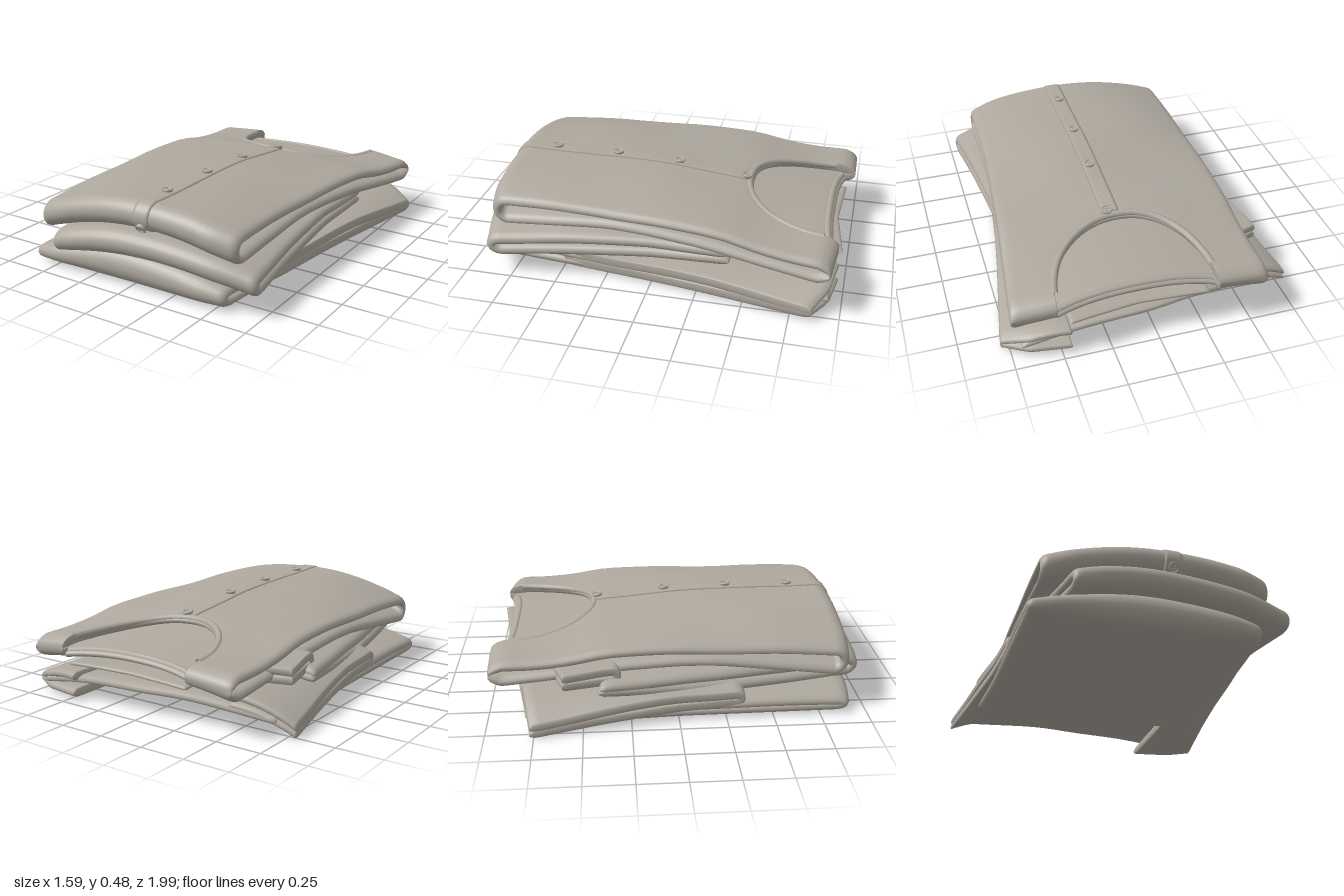
import * as THREE from 'three';
import { mergeVertices } from 'three/addons/utils/BufferGeometryUtils.js';

const cloth = new THREE.MeshStandardMaterial({ color: 0xaea89e, side: THREE.DoubleSide });
cloth.name = 'greige cloth';
const { lerp, clamp } = THREE.MathUtils;

// Smoothed lookup in a short list of [position, value] pairs
const table = (...pts) => {
  const at = (t) => {
    if (t <= pts[0][0]) return pts[0][1];
    for (let i = 1; i < pts.length; i++) {
      const [a, p] = pts[i - 1], [b, q] = pts[i];
      if (t <= b) return lerp(p, q, (t - a) / (b - a));
    }
    return pts[pts.length - 1][1];
  };
  return (t) => (at(t - 0.05) + at(t) + at(t + 0.05)) / 3;
};
const flat = (v) => () => v;
const even = (n, a = 0, b = 1) => Array.from({ length: n + 1 }, (_, i) => lerp(a, b, i / n));
const eased = (n, a, b) => even(n).map((t) => lerp(a, b, (1 - Math.cos(Math.PI * t)) / 2));
const roundEdge = (t, w) => Math.sqrt(Math.max(0, 1 - (1 - clamp(Math.min(t, 1 - t) / w, 0, 1)) ** 2));

// Sampling along a fold: top panel, front bend, bottom panel
const foldRows = (n, bend) => [...eased(n, 0, 0.42), ...even(bend, 0.42, 0.58).slice(1), ...eased(n, 0.58, 1).slice(1)];
const plainColumns = eased(34, 0, 1), plainRows = foldRows(20, 12);

// Neck opening, as fractions of the garment width
const neckL = 0.203, neckR = 0.827;
const neckColumns = [...eased(12, 0, neckL), ...eased(44, neckL, neckR).slice(1), ...eased(12, neckR, 1).slice(1)];

// Solid cloth sheet: two offset faces that meet along a rounded rim
function sheet(name, point, us, vs, thick, rimU = 0.025, rimV = 0.015) {
  const pos = [], index = [], n = vs.length, size = us.length * n;
  const v0 = vs[0], v1 = vs[n - 1], u0 = us[0], u1 = us[us.length - 1];
  for (const side of [1, -1]) {
    for (const u of us) for (const v of vs) {
      const f = roundEdge((u - u0) / (u1 - u0), rimU) * roundEdge((v - v0) / (v1 - v0), rimV);
      pos.push(...point(u, v, side * f * thick / 2).toArray());
    }
  }
  for (let s = 0; s < 2; s++) for (let i = 0; i < us.length - 1; i++) for (let j = 0; j < n - 1; j++) {
    const a = s * size + i * n + j, b = a + 1, c = a + n, d = c + 1;
    index.push(...(s ? [a, c, b, b, c, d] : [a, b, c, b, d, c]));
  }
  let geo = new THREE.BufferGeometry();
  geo.setAttribute('position', new THREE.Float32BufferAttribute(pos, 3));
  geo.setIndex(index);
  geo = mergeVertices(geo, 1e-5);
  geo.computeVertexNormals();
  const mesh = new THREE.Mesh(geo, cloth);
  mesh.name = name;
  return mesh;
}

// Point function for a cloth doubled over at the front
function foldedPath({ cx = 0, roll = 0.08, phase = 0, closed = flat(false), ...o }) {
  const xAt = (u, z) => lerp(o.left(z), o.right(z), u);
  const heights = (u, z) => {
    const x = xAt(u, z), bend = (x - cx) ** 2;
    const wave = 0.004 * Math.sin(5 * x + 7 * z + phase) + 0.003 * Math.sin(9 * x - 4 * z);
    const top = o.top(z) - o.topBend(z) * bend + wave - o.thick / 2;
    const low = o.low(z) - o.lowBend(z) * bend + o.thick / 2;
    const h = closed(u) ? Math.sqrt(clamp((z - o.backTop(u)) / 0.07, 0, 1)) : 1;
    return [(top + low) / 2, (top - low) / 2 * h];
  };
  const mid = (u, v) => {
    const zf = o.front(u) - roll;
    if (v >= 0.42 && v <= 0.58) {
      const a = Math.PI * (0.5 - (v - 0.42) / 0.16), [m, h] = heights(u, zf);
      return [zf + (roll - o.thick / 2) * Math.cos(a), m + h * Math.sin(a)];
    }
    const upper = v < 0.42;
    const z = upper ? lerp(o.backTop(u), zf, v / 0.42) : lerp(zf, o.backLow(u), (v - 0.58) / 0.42);
    const [m, h] = heights(u, z);
    return [z, upper ? m + h : m - h];
  };
  const point = (u, v, off) => {
    const [z, y] = mid(u, v);
    const a = mid(u, Math.max(0, v - 0.002)), b = mid(u, Math.min(1, v + 0.002));
    const dz = b[0] - a[0], dy = b[1] - a[1], l = Math.hypot(dz, dy) || 1;
    return new THREE.Vector3(xAt(u, z), y + off * dz / l, z - off * dy / l);
  };
  const rowAt = (u, z) => 0.42 * (z - o.backTop(u)) / (o.front(u) - roll - o.backTop(u));
  return { point, rowAt, xAt, thick: o.thick };
}

export function createModel() {
  const group = new THREE.Group();
  const fold = (name, o, us = plainColumns, vs = plainRows) => {
    const path = foldedPath(o);
    group.add(sheet(name, path.point, us, vs, o.thick));
    return path;
  };

  // Bottom fold, lying flat
  fold('bottomFold', {
    left: table([-0.8, -0.7], [0, -0.65], [0.9, -0.635]), right: table([-0.85, 0.7], [0, 0.64], [0.5, 0.6], [0.9, 0.56]),
    front: table([0, 0.9], [0.1, 0.93], [0.9, 0.92], [1, 0.89]),
    backTop: table([0, -0.79], [0.5, -0.92], [1, -0.94]), backLow: flat(-0.42),
    top: table([-0.95, 0.165], [0, 0.18], [0.9, 0.2]), topBend: table([-0.9, 0.1], [0.9, 0.24]),
    low: flat(0.025), lowBend: flat(0), thick: 0.05, phase: 1,
  });
  // Sleeves spreading out beside the bottom fold
  fold('rightSleeve', {
    left: table([-0.78, -0.8], [-0.4, -0.73], [0, -0.665], [0.4, -0.635]), right: flat(-0.45),
    front: flat(0.35), backTop: table([0, -0.77], [1, -0.83]), backLow: table([0, -0.77], [1, -0.83]),
    cx: -0.42, top: flat(0.21), topBend: flat(0.9), low: flat(0.11), lowBend: flat(0.72), thick: 0.042, roll: 0.06,
  });
  fold('leftSleeve', {
    left: flat(0.45), right: table([-0.86, 0.8], [-0.3, 0.7], [0, 0.655], [0.3, 0.62], [0.55, 0.585]),
    front: flat(0.5), backTop: table([0, -0.97], [0.6, -0.94], [1, -0.86]), backLow: table([0, -0.97], [0.6, -0.94], [1, -0.86]),
    cx: 0.5, top: table([-0.9, 0.165], [0.4, 0.14]), topBend: flat(0.7), low: flat(0.03), lowBend: flat(0), thick: 0.05, roll: 0.06,
  });

  // Middle fold, turned a little and shorter at the back
  fold('middleFold', {
    left: table([-0.42, -0.69], [0.3, -0.58], [0.98, -0.43]), right: table([-0.42, 0.66], [0, 0.65], [0.5, 0.69], [0.9, 0.735]),
    front: table([0, 0.99], [0.06, 1], [0.3, 0.975], [0.8, 0.935], [1, 0.88]), backTop: flat(-0.41), backLow: flat(-0.42),
    cx: 0.1, top: table([-0.4, 0.31], [0, 0.335], [0.95, 0.33]), topBend: table([-0.4, 0.12], [0.9, 0.25]),
    low: table([-0.4, 0.2], [0.95, 0.195]), lowBend: table([-0.4, 0.05], [0.9, 0.22]), thick: 0.055, phase: 2,
  });
  // Loose cloth tucked behind the middle fold
  fold('tuckedSleeve', {
    left: table([-0.62, -0.68], [-0.35, -0.62]), right: flat(-0.4), front: flat(-0.3),
    backTop: table([0, -0.6], [0.5, -0.65], [1, -0.68]), backLow: table([0, -0.6], [0.5, -0.65], [1, -0.68]),
    cx: -0.5, top: flat(0.31), topBend: flat(0.4), low: flat(0.215), lowBend: flat(0.1), thick: 0.042, roll: 0.04,
  });
  fold('tuckedBack', {
    left: flat(-0.28), right: flat(0.46), front: flat(-0.35), backTop: table([0, -0.95], [0.5, -0.93], [1, -0.98]),
    backLow: flat(-0.8), cx: 0.1, top: table([-0.95, 0.235], [-0.4, 0.25]), topBend: flat(0.05),
    low: flat(0.18), lowBend: flat(0), thick: 0.022, roll: 0.03,
  });

  // Top fold with the scooped neck cut into its upper panel
  const inNeck = (u) => u > neckL && u < neckR;
  const neckPos = (u) => Math.min(1, Math.abs((u - 0.515) / 0.312));
  const shoulder = table([0, -0.985], [0.2, -0.99], [0.83, -0.96], [1, -0.935]);
  const neckZ = (u) => -0.455 - 0.51 * (1 - (1 - neckPos(u) ** 2.2) ** (1 / 2.2));
  const backZ = (u) => -0.91 - 0.04 * neckPos(u) ** 3;
  const top = fold('topFold', {
    left: flat(-0.58), right: table([-0.93, 0.75], [-0.3, 0.68], [0.3, 0.63], [0.88, 0.62]),
    front: table([0, 0.9], [0.08, 0.925], [0.92, 0.91], [1, 0.87]),
    backTop: (u) => (inNeck(u) ? neckZ(u) : shoulder(u)), backLow: (u) => (inNeck(u) ? backZ(u) : shoulder(u)),
    closed: (u) => !inNeck(u), cx: 0.08,
    top: table([-1, 0.355], [-0.75, 0.37], [-0.55, 0.395], [-0.4, 0.43], [0, 0.465], [0.5, 0.485], [0.85, 0.485]),
    topBend: table([-0.9, 0.06], [0, 0.16], [0.85, 0.29]),
    low: table([-0.95, 0.26], [-0.6, 0.295], [-0.3, 0.33], [0.2, 0.36], [0.85, 0.335]),
    lowBend: table([-0.9, 0.16], [0, 0.16], [0.85, 0.31]), thick: 0.05,
  }, neckColumns, foldRows(32, 14));

  // Knitted bands round the front and back of the neck
  const band = (name, v, off) => {
    const pts = eased(40, neckL + 0.001, neckR - 0.001).map((u) => top.point(u, v, off));
    const mesh = new THREE.Mesh(new THREE.TubeGeometry(new THREE.CatmullRomCurve3(pts), 90, 0.019, 10), cloth);
    mesh.name = name;
    group.add(mesh);
  };
  band('frontNeckBand', 0.008, 0.013);
  band('backNeckBand', 0.992, -0.013);

  // Button placket running over the front fold
  const uAt = (x, z) => (x - top.xAt(0, z)) / (top.xAt(1, z) - top.xAt(0, z));
  const placketPoint = (x, v, off) => {
    const z = Math.min(0.9, lerp(-0.45, 1.1, v / 0.56));
    return top.point(uAt(x, z), v, top.thick / 2 + off);
  };
  group.add(sheet('placket', placketPoint, even(10, 0.045, 0.14), even(80, 0.008, 0.575), 0.012, 0.08, 0.01));

  // Buttons: disc, raised rim and four thread knots
  const button = (x, z, row) => {
    const u = uAt(x, z), v = row ?? top.rowAt(u, z);
    const base = top.point(u, v, top.thick / 2 + 0.005);
    const normal = top.point(u, v, top.thick / 2 + 0.1).sub(base).normalize();
    const b = new THREE.Group();
    b.name = 'button';
    const add = (name, geo, px, py, pz) => {
      const m = new THREE.Mesh(geo, cloth);
      m.name = name;
      m.position.set(px, py, pz);
      b.add(m);
    };
    add('buttonDisc', new THREE.CylinderGeometry(0.028, 0.026, 0.014, 28), 0, 0.004, 0);
    add('buttonRim', new THREE.TorusGeometry(0.025, 0.005, 8, 28).rotateX(Math.PI / 2), 0, 0.011, 0);
    for (const i of [-1, 1]) for (const j of [-1, 1]) add('buttonThread', new THREE.SphereGeometry(0.004, 8, 6), i * 0.007, 0.011, j * 0.007);
    b.position.copy(base);
    b.quaternion.setFromUnitVectors(new THREE.Vector3(0, 1, 0), normal);
    group.add(b);
  };
  button(0.11, -0.41);
  button(0.096, -0.03);
  button(0.092, 0.32);
  button(0.088, 0.68);
  button(0.092, 0.9, 0.53);
  return group;
}
